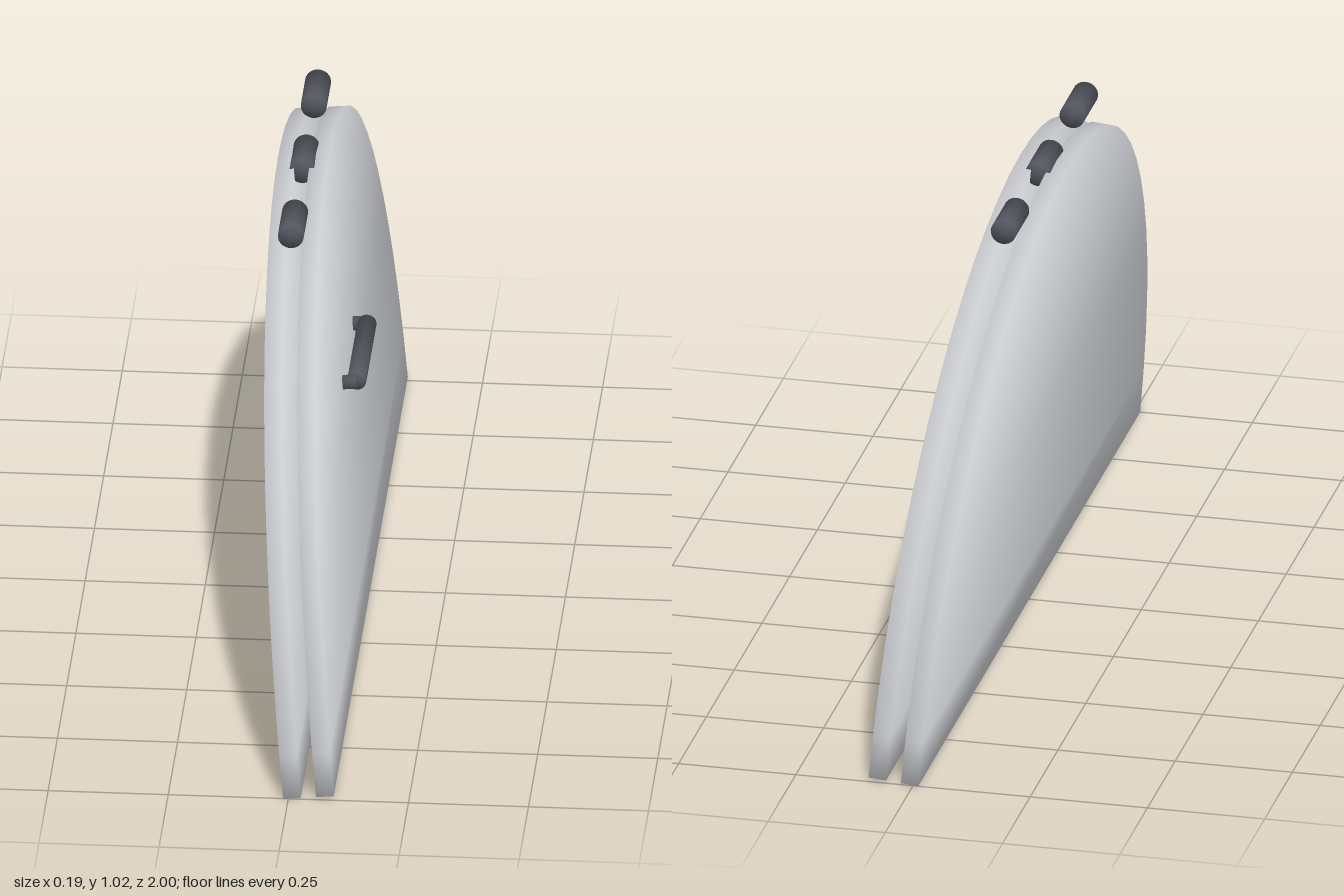
import * as THREE from 'three';

// Half disc of radius 1: rectangular rings stacked upwards, with soft normals over every edge
function halfDisc(thickness, rows) {
  const position = [], normal = [], index = [];
  const corners = [[1, 1], [1, -1], [-1, -1], [-1, 1]];
  const n = new THREE.Vector3();
  for (let i = 0; i <= rows; i++) {
    const angle = (i / rows) * Math.PI / 2;
    const y = Math.sin(angle), z = Math.cos(angle);
    for (const [sx, sz] of corners) {
      position.push(sx * thickness / 2, y, sz * z);
      n.set(sx, i === 0 ? -1 : y, sz * z).normalize();
      normal.push(n.x, n.y, n.z);
    }
    if (i === rows) break;
    for (let j = 0; j < 4; j++) {
      const a = i * 4 + j, b = i * 4 + (j + 1) % 4;
      index.push(a, b, b + 4, a, b + 4, a + 4);
    }
  }
  index.push(0, 2, 1, 0, 3, 2); // straight bottom edge
  const geometry = new THREE.BufferGeometry();
  geometry.setAttribute('position', new THREE.Float32BufferAttribute(position, 3));
  geometry.setAttribute('normal', new THREE.Float32BufferAttribute(normal, 3));
  geometry.setIndex(index);
  return geometry;
}

// Cylinder whose shading runs softly over the end edges
function softCylinder(radius, length) {
  const geometry = new THREE.CylinderGeometry(radius, radius, length, 24);
  const { position, normal } = geometry.attributes;
  const n = new THREE.Vector3();
  for (let i = 0; i < position.count; i++) {
    n.set(position.getX(i) / radius, Math.sign(position.getY(i)), position.getZ(i) / radius).normalize();
    normal.setXYZ(i, n.x, n.y, n.z);
  }
  return geometry;
}

export function createModel() {
  const model = new THREE.Group();
  model.name = 'foldedHalfRoundTop';
  const grey = new THREE.MeshStandardMaterial({ color: 0xd4d6da });
  const dark = new THREE.MeshStandardMaterial({ color: 0x53565f });
  const thickness = 0.037, gap = 0.032;
  const outer = 2 * thickness + gap;

  // Everything leans together towards -x
  const body = new THREE.Group();
  body.name = 'leaningBody';
  body.rotation.z = THREE.MathUtils.degToRad(5);
  body.position.x = -0.011;
  model.add(body);

  const add = (name, geometry, material, x, y, z) => {
    const mesh = new THREE.Mesh(geometry, material);
    mesh.name = name;
    mesh.position.set(x, y, z);
    body.add(mesh);
  };

  // Two half-disc leaves, straight edge at the bottom
  const leaf = halfDisc(thickness, 16);
  add('backLeaf', leaf, grey, thickness / 2, 0, 0);
  add('frontLeaf', leaf, grey, outer - thickness / 2, 0, 0);

  // Hinge barrels along the top, between the leaves
  const barrel = softCylinder(0.027, 0.12).rotateX(Math.PI / 2);
  for (const z of [-0.31, 0, 0.31]) add('hinge', barrel, dark, outer / 2 + 0.001, 0.99, z);

  // Bar handle on two posts
  const barX = 0.1345, handleY = 0.5395;
  add('handleBar', softCylinder(0.02, 0.275).rotateX(Math.PI / 2), dark, barX, handleY, 0);
  const postLength = barX - outer + 0.005;
  const post = softCylinder(0.015, postLength).rotateZ(Math.PI / 2);
  for (const side of [-1, 1]) {
    add('handlePost', post, dark, barX - postLength / 2, handleY, side * 0.14);
  }

  return model;
}
